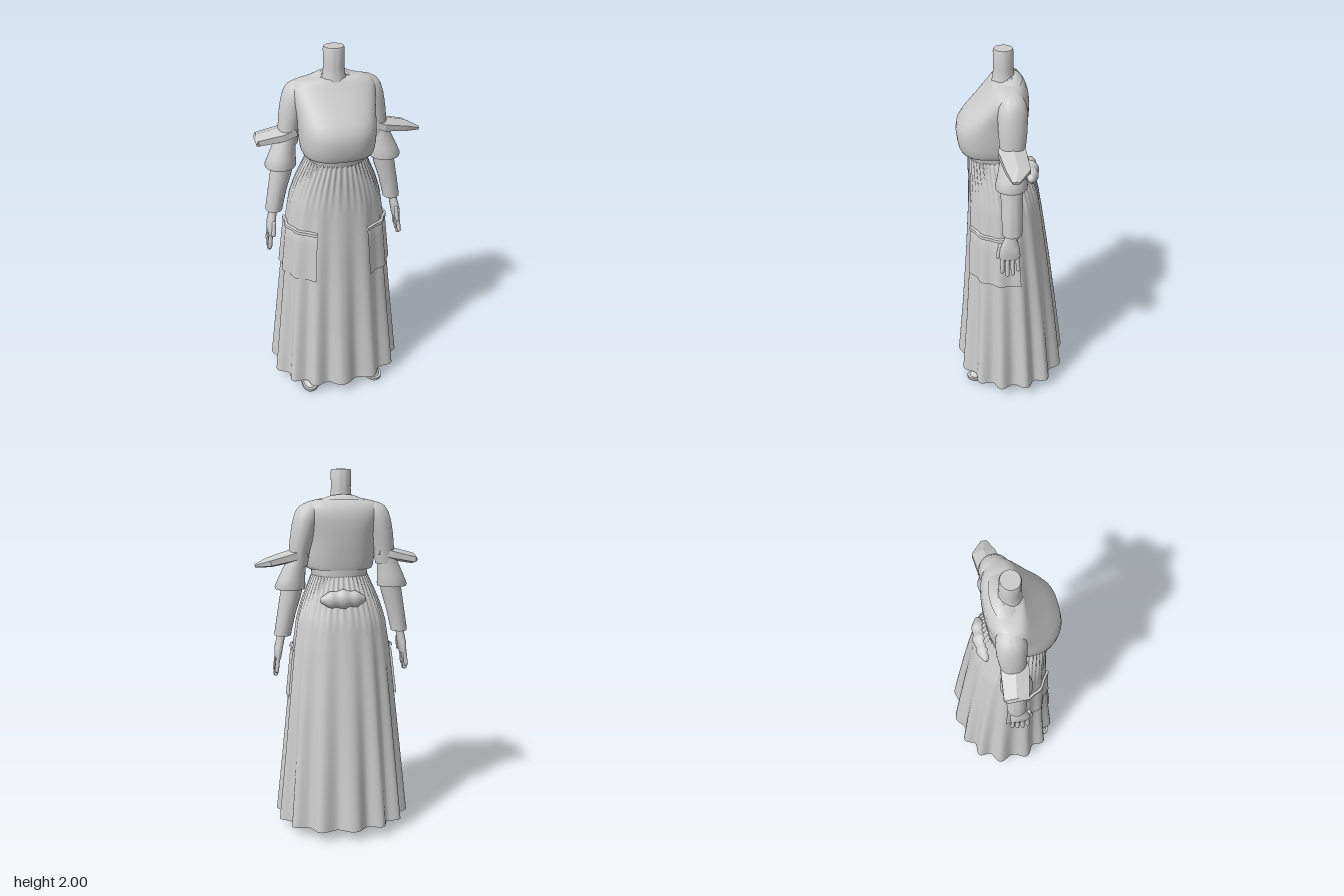
import * as THREE from 'three';
import { toCreasedNormals } from 'three/addons/utils/BufferGeometryUtils.js';

const cloth = new THREE.MeshStandardMaterial({ color: 0xcccccc, side: THREE.DoubleSide });
cloth.name = 'light grey';

// Grid surface from fn(u, v); u goes around, v goes up
function surface(nu, nv, fn, closed = true) {
  const pos = [], idx = [], w = closed ? nu : nu + 1;
  for (let j = 0; j <= nv; j++)
    for (let i = 0; i < w; i++) pos.push(...fn(i / nu, j / nv));
  for (let j = 0; j < nv; j++)
    for (let i = 0; i < nu; i++) {
      const a = j * w + i, b = j * w + (i + 1) % w, c = a + w, d = b + w;
      idx.push(a, c, b, b, c, d);
    }
  const g = new THREE.BufferGeometry();
  g.setAttribute('position', new THREE.Float32BufferAttribute(pos, 3));
  g.setIndex(idx);
  g.computeVertexNormals();
  return g;
}

const sPow = (c, n) => Math.sign(c) * Math.abs(c) ** (2 / n);

// Loft through rows [y, centreX, radiusX, zFront, zBack], bottom to top
function loft(rows, { seg = 40, n = 2, tilt = 0, crease = 0.8, cap = true } = {}) {
  const list = rows.slice();
  if (cap) {
    const end = ([y, cx, , f, b]) => [y, cx, 0.0005, (f + b) / 2 + 0.0005, (f + b) / 2 - 0.0005];
    list.unshift(end(rows[0]));
    list.push(end(rows[rows.length - 1]));
  }
  const g = surface(seg, list.length - 1, (u, v) => {
    const [y, cx, rx, f, b] = list[Math.round(v * (list.length - 1))];
    const a = u * Math.PI * 2, s = sPow(Math.sin(a), n);
    return [cx + rx * sPow(Math.cos(a), n), y - tilt * s, (f + b) / 2 + s * (f - b) / 2];
  });
  return toCreasedNormals(g, crease);
}

// Skirt profile rows: y, radiusX, zFront, zBack, fold depth
const skirtRows = [
  [0.06, 0.36, 0.3, -0.3, 0.02], [0.4, 0.328, 0.272, -0.262, 0.014],
  [0.76, 0.295, 0.248, -0.218, 0.008], [1.05, 0.266, 0.232, -0.178, 0.004],
  [1.2, 0.245, 0.226, -0.155, 0.002], [1.3, 0.212, 0.224, -0.125, 0.001],
  [1.39, 0.172, 0.224, -0.092, 0], [1.44, 0.15, 0.222, -0.074, 0],
];
function skirtPoint(a, y, out = 0) {
  let k = 0;
  while (k < skirtRows.length - 2 && y > skirtRows[k + 1][0]) k++;
  const p = skirtRows[k], q = skirtRows[k + 1], t = (y - p[0]) / (q[0] - p[0]);
  const [, rx, f, b, amp] = p.map((e, i) => e + (q[i] - e) * t);
  const gather = 0.004 * THREE.MathUtils.smoothstep(y, 1.1, 1.4) * Math.cos(42 * a);
  const d = amp * Math.cos(14 * (a + Math.PI / 2) + 0.5 * Math.sin(3 * a)) + gather + out;
  return [(rx + d) * sPow(Math.cos(a), 2.2), y, (f + b) / 2 + ((f - b) / 2 + d) * sPow(Math.sin(a), 2.2)];
}

export function createModel() {
  const model = new THREE.Group();
  model.name = 'dressedFigure';
  const body = new THREE.Group();
  body.name = 'body';
  body.position.x = -0.033;
  model.add(body);
  const add = (parent, name, geo) => {
    const m = new THREE.Mesh(geo, cloth);
    m.name = name;
    parent.add(m);
    return m;
  };

  // Long gathered skirt, open at the hem
  add(body, 'skirt', surface(252, 44, (u, v) => skirtPoint(u * Math.PI * 2, 0.06 + 1.38 * v)));

  // Waist and cropped top
  add(body, 'waistband', loft([[1.42, 0, 0.148, 0.218, -0.07], [1.44, 0, 0.152, 0.226, -0.072],
    [1.5, 0, 0.158, 0.235, -0.072]], { n: 2.2 }));
  add(body, 'croppedTop', loft([
    [1.475, 0, 0.18, 0.262, -0.072], [1.49, 0, 0.187, 0.27, -0.076], [1.53, 0, 0.193, 0.278, -0.08],
    [1.58, 0, 0.196, 0.283, -0.087], [1.62, 0, 0.197, 0.276, -0.09], [1.66, 0, 0.199, 0.25, -0.093],
    [1.7, 0, 0.204, 0.212, -0.095], [1.74, 0, 0.21, 0.175, -0.095], [1.78, 0, 0.214, 0.138, -0.09],
    [1.81, 0, 0.21, 0.112, -0.078], [1.83, 0, 0.19, 0.096, -0.062], [1.845, 0, 0.13, 0.085, -0.045],
  ], { seg: 64, n: 2.5, crease: 1.2 }));
  add(body, 'collar', loft([[1.825, 0, 0.15, 0.1, -0.062], [1.842, 0, 0.11, 0.096, -0.045],
    [1.85, 0, 0.085, 0.092, -0.03]], { tilt: 0.022 }));
  add(body, 'neck', loft([[1.81, 0, 0.07, 0.1, -0.035], [1.86, 0, 0.057, 0.088, -0.022],
    [1.9, 0, 0.053, 0.084, -0.018], [1.99, 0, 0.054, 0.085, -0.017], [2, 0, 0.05, 0.081, -0.013]]));

  // Lumpy pouch at the back of the waist
  const pouch = new THREE.SphereGeometry(1, 40, 20);
  const pp = pouch.attributes.position;
  for (let i = 0; i < pp.count; i++) {
    const x = pp.getX(i), k = 1 + 0.1 * Math.cos(x * 11);
    pp.setXYZ(i, x * 0.125, pp.getY(i) * 0.05 * k, pp.getZ(i) * 0.045 * k);
  }
  pouch.computeVertexNormals();
  add(body, 'backPouch', pouch).position.set(0.015, 1.325, -0.106);

  for (const side of [1, -1]) {
    const half = new THREE.Group();
    half.name = side > 0 ? 'leftSide' : 'rightSide';
    half.scale.x = side;
    body.add(half);

    // Patch pocket following the skirt, with a raised top edge
    const a0 = -0.2, a1 = 1.1;
    const patch = (y0, y1, out) => surface(30, 8, (u, v) =>
      skirtPoint(a0 + (a1 - a0) * u, y0 + (y1 - y0) * v, out * (v > 0.99 ? 0.2 : 1)), false);
    add(half, 'pocket', patch(0.76, 1.05, 0.011));
    add(half, 'pocketEdge', patch(1.035, 1.055, 0.016));

    // Rounded shoulder sleeve
    add(half, 'shoulderSleeve', loft([
      [1.5, 0.238, 0.05, 0.06, -0.055], [1.58, 0.232, 0.056, 0.068, -0.064],
      [1.66, 0.216, 0.064, 0.072, -0.073], [1.73, 0.2, 0.068, 0.074, -0.075],
      [1.78, 0.185, 0.068, 0.07, -0.07], [1.81, 0.172, 0.06, 0.055, -0.054],
      [1.828, 0.16, 0.04, 0.035, -0.032], [1.834, 0.15, 0.015, 0.015, -0.01],
    ], { crease: 1.3 }));

    // Faceted drape hanging off the upper arm
    const reach = side > 0 ? [0.2, 0.28, 0.02] : [0.2, 0.215, 0.065];
    const drape = loft([[0, 0, 0.035, 0.075, -0.06], [0.07, 0.004, 0.036, 0.085, -0.075],
      [reach[0], 0, 0.028, 0.055, -0.085], [reach[1], 0, 0.01, reach[2], -reach[2]]],
    { seg: 6, crease: 0.1 });
    drape.rotateZ(-Math.PI / 2 - 0.25);
    add(half, 'armDrape', drape).position.set(0.2, 1.573, 0);

    // Bell sleeve over a fitted lower sleeve
    add(half, 'bellSleeve', loft([
      [1.375, 0.284, 0.08, 0.092, -0.07], [1.385, 0.284, 0.083, 0.094, -0.072],
      [1.43, 0.275, 0.073, 0.083, -0.066], [1.48, 0.262, 0.062, 0.073, -0.062],
      [1.54, 0.246, 0.05, 0.062, -0.055],
    ]));
    add(half, 'lowerSleeve', loft([
      [1.12, 0.328, 0.045, 0.06, -0.042], [1.135, 0.327, 0.046, 0.061, -0.043],
      [1.24, 0.306, 0.05, 0.064, -0.045], [1.33, 0.284, 0.057, 0.066, -0.048],
      [1.4, 0.27, 0.058, 0.066, -0.05],
    ]));

    // Hand with four fingers and a thumb
    const hand = new THREE.Group();
    hand.name = 'hand';
    half.add(hand);
    add(hand, 'palm', loft([
      [0.985, 0.357, 0.014, 0.074, -0.028], [1.0, 0.356, 0.018, 0.08, -0.032],
      [1.05, 0.35, 0.022, 0.075, -0.028], [1.1, 0.34, 0.022, 0.05, -0.012], [1.14, 0.33, 0.024, 0.045, -0.01],
    ], { seg: 24, n: 2.4 }));
    const finger = (name, x, y, z, len, lean, swing) => {
      const m = add(hand, name, new THREE.CapsuleGeometry(0.0115, len, 4, 10));
      m.position.set(x, y, z);
      m.rotation.set(swing, 0, lean);
    };
    [0.075, 0.098, 0.09, 0.066].forEach((len, i) =>
      finger('finger', 0.364, 0.99 - len / 2, 0.063 - i * 0.027, len, 0.12, 0.04 * (i - 1.5)));
    finger('thumb', 0.345, 1.03, 0.079, 0.065, 0.1, -0.2);

    // Leg and shoe, turned slightly outwards
    add(half, 'leg', loft([
      [0.05, 0.15, 0.038, 0.03, -0.06], [0.14, 0.148, 0.038, 0.028, -0.052],
      [0.32, 0.14, 0.055, 0.045, -0.075], [0.55, 0.13, 0.055, 0.06, -0.055],
      [0.95, 0.1, 0.085, 0.1, -0.09],
    ], { seg: 24 }));
    const foot = new THREE.Group();
    foot.name = 'foot';
    foot.position.set(0.148, 0, 0);
    foot.rotation.y = 0.2;
    half.add(foot);
    add(foot, 'sole', loft([[0, 0, 0.055, 0.27, -0.08], [0.006, 0, 0.06, 0.276, -0.085],
      [0.022, 0, 0.06, 0.276, -0.085]], { n: 2.5 }));
    add(foot, 'shoeUpper', loft([
      [0.02, 0, 0.054, 0.262, -0.076], [0.04, 0, 0.053, 0.25, -0.075], [0.055, 0, 0.048, 0.2, -0.07],
      [0.075, 0, 0.045, 0.11, -0.066], [0.1, 0, 0.043, 0.05, -0.062],
    ], { n: 2.3, crease: 1.1 }));
  }
  return model;
}
